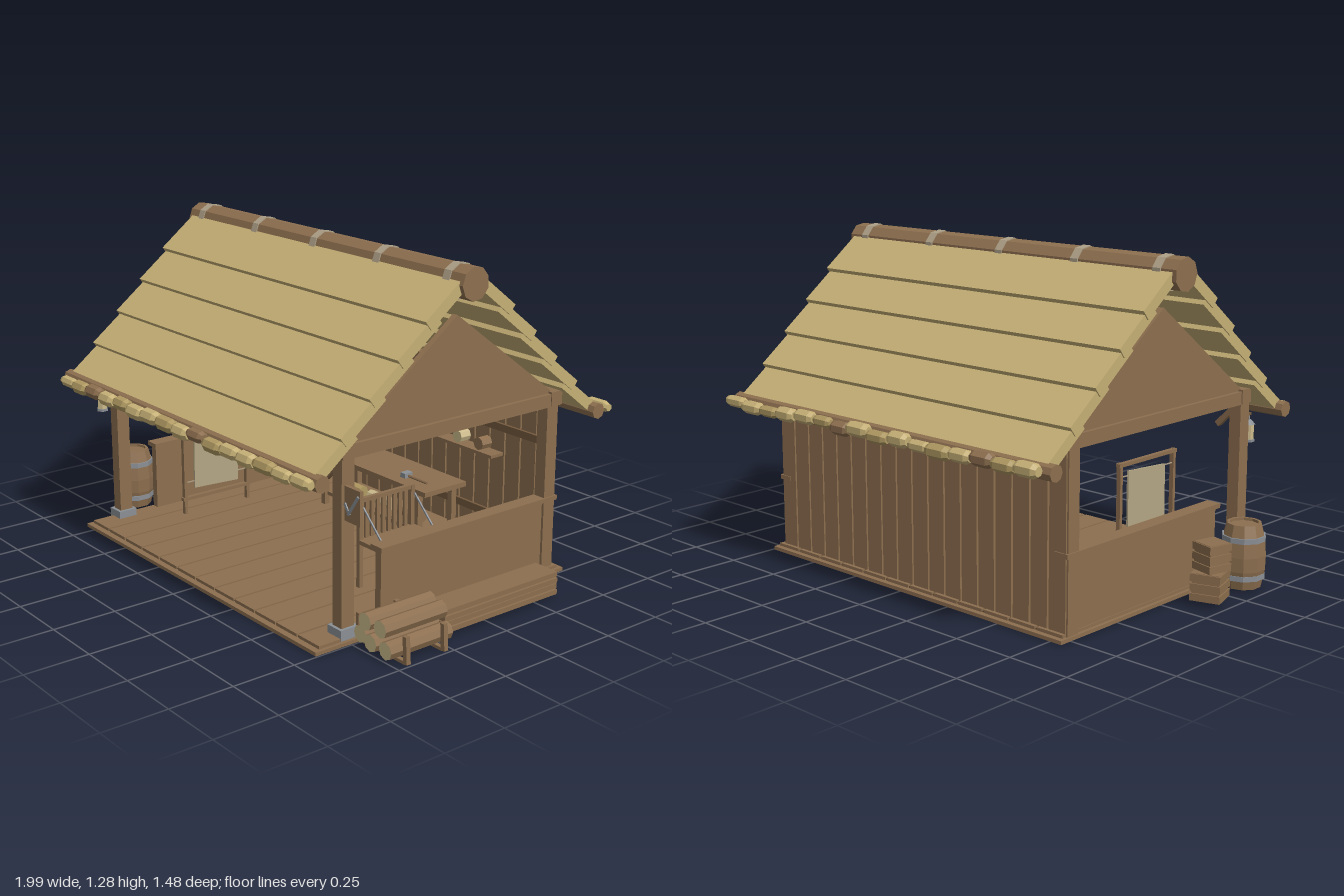
import * as THREE from 'three';

const mat = (name, color) => Object.assign(new THREE.MeshStandardMaterial({ color }), { name });
const M = {
  wood: mat('wood', 0x8d6f4f),
  darkWood: mat('dark wood', 0x755a3e),
  thatch: mat('thatch', 0xc6b076),
  straw: mat('pale straw', 0xb09a62),
  cutWood: mat('cut wood', 0xcdbb8c),
  hide: mat('hide', 0xb3a685),
  rope: mat('rope', 0xaea087),
  stone: mat('stone', 0x8b9095),
  seam: mat('shadow gap', 0x4a3826),
};

// Faceted normals
function flat(geo) {
  const g = geo.index ? geo.toNonIndexed() : geo;
  g.computeVertexNormals();
  return g;
}

function add(parent, name, geo, material, x, y, z) {
  const m = new THREE.Mesh(geo, material);
  m.name = name;
  m.position.set(x, y, z);
  parent.add(m);
  return m;
}

const box = (p, name, material, w, h, d, x, y, z) =>
  add(p, name, new THREE.BoxGeometry(w, h, d), material, x, y, z);

// Faceted cylinder along the chosen axis; caps may have their own material
function rod(p, name, material, r, len, axis, x, y, z, sides = 8, cap = material) {
  const g = new THREE.CylinderGeometry(r, r, len, sides);
  const groups = g.groups.slice();
  const f = flat(g);
  f.clearGroups();
  groups.forEach((k) => f.addGroup(k.start, k.count, k.materialIndex));
  if (axis === 'x') f.rotateZ(Math.PI / 2);
  if (axis === 'z') f.rotateX(Math.PI / 2);
  return add(p, name, f, [material, cap, cap], x, y, z);
}

function lathe(points, sides) {
  return flat(new THREE.LatheGeometry(points.map(([r, y]) => new THREE.Vector2(r, y)), sides));
}

function group(parent, name) {
  const g = new THREE.Group();
  g.name = name;
  parent.add(g);
  return g;
}

let seed = 7;
const rand = () => (seed = (seed * 16807) % 2147483647) / 2147483647;

const CX = -0.037, LEFT = 0.697, RIGHT = -0.77;

function buildFloor(root) {
  const g = group(root, 'floor');
  box(g, 'floorBase', M.wood, 1.545, 0.014, 1.205, -0.028, 0.007, 0.052);
  box(g, 'floorGaps', M.seam, 1.5, 0.004, 1.15, -0.028, 0.016, 0.05);
  const n = 12, step = 1.53 / n;
  for (let i = 0; i < n; i++)
    box(g, 'floorPlank', M.wood, step - 0.01, 0.012, 1.16, -0.793 + step * (i + 0.5), 0.02, 0.05);
}

function buildFrame(root) {
  const g = group(root, 'frame');
  for (const x of [RIGHT, LEFT]) {
    const s = Math.sign(x);
    for (const z of [0.497, -0.483]) {
      box(g, 'post', M.wood, 0.05, 0.69, 0.055, x, 0.355, z);
      if (z > 0) box(g, 'postFoot', M.stone, 0.075, 0.04, 0.08, x, 0.036, z);
    }
    // Knee brace
    const b = box(g, 'kneeBrace', M.wood, 0.022, 0.13, 0.022, x - s * 0.05, 0.62, 0.497);
    b.rotation.z = -s * Math.PI / 4;
    box(g, 'tieBeam', M.wood, 0.055, 0.05, 1.04, x, 0.695, 0);
    // Gable
    const tri = new THREE.Shape([[-0.5, 0.715], [0.5, 0.715], [0, 1.09]].map((p) => new THREE.Vector2(...p)));
    const geo = new THREE.ExtrudeGeometry(tri, { depth: 0.025, bevelEnabled: false });
    geo.translate(0, 0, -0.0125).rotateY(Math.PI / 2);
    add(g, 'gable', geo, M.wood, x, 0, 0);
    // Half wall with rail
    box(g, 'halfWall', M.wood, 0.03, 0.275, 0.85, x, 0.158, -0.085);
    box(g, 'halfWallRail', M.wood, 0.06, 0.018, 0.87, x, 0.303, -0.085);
  }
  for (const z of [0.497, -0.497]) box(g, 'longBeam', M.wood, 1.53, 0.055, 0.055, CX, 0.7, z);
  // Back wall planks
  const n = 18, step = 1.51 / n;
  for (let i = 0; i < n; i++)
    box(g, 'backPlank', M.wood, step - 0.008, 0.66, 0.022, CX - 0.755 + step * (i + 0.5), 0.345, -0.505);
  for (const y of [0.15, 0.52]) box(g, 'backBatten', M.darkWood, 1.48, 0.03, 0.012, CX, y, -0.488);
}

function buildRoof(root) {
  const g = group(root, 'roof');
  const tilt = 0.66, L = 0.215, T = 0.042, c = Math.cos(tilt), s = Math.sin(tilt);
  for (const side of [1, -1]) {
    for (let i = 0; i < 5; i++) {
      const z = 0.21 + 0.118 * i - c * L / 2 - s * T / 2;
      const y = 1.11 - 0.115 * i + s * L / 2 - c * T / 2;
      const w = 1.64 - 0.01 * i;
      box(g, 'thatchRow', M.thatch, w, T, L, CX - 0.003, y, z * side).rotation.x = tilt * side;
    }
    rod(g, 'eaveLog', M.wood, 0.031, 1.66, 'x', -0.04, 0.634, 0.66 * side);
    // Straw bundles along the eave
    for (let i = 0; i < 16; i++) {
      const r = 0.021 + rand() * 0.008, h = 0.045 + rand() * 0.011;
      const geo = lathe([[0, -h], [r * 0.65, -h], [r, -h * 0.65], [r, h * 0.65], [r * 0.65, h], [0, h]], 7);
      geo.rotateZ(Math.PI / 2);
      const m = i % 7 === 2 ? M.wood : i % 3 === 1 ? M.straw : M.thatch;
      add(g, 'eaveBundle', geo, m, -0.79 + i * 0.102, 0.638 + (rand() - 0.5) * 0.016, side * (0.705 + rand() * 0.01));
    }
  }
  rod(g, 'ridgeLog', M.wood, 0.062, 1.675, 'x', -0.04, 1.215, 0, 9);
  for (let i = 0; i < 5; i++) rod(g, 'ridgeRope', M.rope, 0.066, 0.035, 'x', -0.793 + 0.376 * i, 1.215, 0, 9);
}

function buildInterior(root) {
  // Workbench with rolls on its lower shelf
  const b = group(root, 'workbench');
  box(b, 'benchTop', M.wood, 0.68, 0.02, 0.22, -0.04, 0.252, -0.34);
  box(b, 'benchShelf', M.wood, 0.6, 0.015, 0.18, -0.04, 0.075, -0.34);
  for (const x of [-0.355, 0.24]) for (const z of [-0.43, -0.25])
    box(b, 'benchLeg', M.wood, 0.025, 0.22, 0.025, x, 0.135, z);
  [M.straw, M.cutWood, M.wood].forEach((m, i) =>
    rod(b, 'shelfRoll', m, 0.025, 0.14, 'x', -0.255 + i * 0.187, 0.108, -0.32));
  for (let i = 0; i < 3; i++) rod(b, 'pot', M.darkWood, 0.014, 0.03, 'y', -0.3 + i * 0.035, 0.277, -0.34);
  rod(b, 'malletHandle', M.wood, 0.006, 0.13, 'x', 0.17, 0.27, -0.3, 6);
  box(b, 'malletHead', M.stone, 0.03, 0.02, 0.04, 0.11, 0.272, -0.3);

  // Tool board
  const t = group(root, 'toolBoard');
  box(t, 'board', M.wood, 0.42, 0.225, 0.014, -0.305, 0.492, -0.475);
  [-0.475, -0.41, -0.34, -0.275, -0.135].forEach((x, i) => {
    box(t, 'toolBlade', M.stone, 0.01, 0.07, 0.01, x, 0.5 - (i % 2) * 0.01, -0.463);
    box(t, 'toolHandle', M.darkWood, 0.014, 0.05, 0.012, x, 0.56, -0.463);
  });

  // Wall shelf and plates
  const s = group(root, 'wallShelf');
  box(s, 'shelf', M.wood, 0.39, 0.012, 0.065, 0.305, 0.43, -0.42);
  [M.cutWood, M.cutWood, M.wood].forEach((m, i) =>
    rod(s, 'roundJar', m, 0.026, 0.05, 'z', 0.18 + i * 0.12, 0.463, -0.42));

  // Bench seat with slatted back
  const c = group(root, 'chair');
  box(c, 'seat', M.wood, 0.175, 0.016, 0.27, 0.505, 0.208, 0.075);
  for (const z of [-0.05, 0.2]) {
    box(c, 'rearLeg', M.wood, 0.018, 0.35, 0.018, 0.425, 0.2, z);
    box(c, 'frontLeg', M.wood, 0.018, 0.18, 0.018, 0.58, 0.115, z);
    box(c, 'armStrut', M.stone, 0.006, 0.16, 0.006, 0.5, 0.29, z).rotation.z = 0.8;
  }
  box(c, 'backRail', M.wood, 0.016, 0.016, 0.27, 0.425, 0.368, 0.075);
  for (let i = 0; i < 8; i++) box(c, 'backSlat', M.wood, 0.01, 0.15, 0.016, 0.425, 0.288, -0.02 + i * 0.027);

  // Hide stretched on a frame
  const h = group(root, 'hideFrame');
  for (const z of [-0.028, 0.287]) box(h, 'framePost', M.wood, 0.018, 0.48, 0.014, -0.62, 0.265, z);
  for (const y of [0.09, 0.497]) box(h, 'frameBar', M.wood, 0.018, 0.014, 0.34, -0.62, y, 0.13);
  const skin = new THREE.Shape([[-0.24, 0.13], [-0.02, 0.12], [-0.018, 0.468], [-0.12, 0.462], [-0.235, 0.455]]
    .map((p) => new THREE.Vector2(...p)));
  const geo = new THREE.ExtrudeGeometry(skin, { depth: 0.008, bevelEnabled: false });
  add(h, 'hide', geo.rotateY(Math.PI / 2), M.hide, -0.624, 0, 0);
  for (const y of [0.16, 0.45]) for (const z of [0.0, 0.262])
    box(h, 'lacing', M.rope, 0.004, 0.004, 0.05, -0.62, y, z);
}

function buildOutside(root) {
  // Barrel
  const b = group(root, 'barrel');
  b.position.set(-0.9, 0.012, 0.365);
  add(b, 'barrelBody', lathe([[0, 0], [0.07, 0], [0.085, 0.07], [0.087, 0.125], [0.083, 0.18], [0.066, 0.245],
    [0.055, 0.245], [0.055, 0.235], [0, 0.235]], 10), M.wood, 0, 0, 0);
  for (const y of [0.045, 0.19])
    add(b, 'hoop', lathe([[0.075, y - 0.01], [0.084, y - 0.01], [0.084, y + 0.01], [0.075, y + 0.01]], 10), M.stone, 0, 0, 0);

  // Stacked crates
  [[0.115, 0.075, 0.3, -0.92], [0.1, 0.185, -0.25, -0.925]].forEach(([w, y, turn, x]) => {
    const c = group(root, 'crate');
    c.position.set(x, y, 0.13);
    c.rotation.y = turn;
    box(c, 'crateBody', M.wood, w - 0.01, 0.105, w - 0.01, 0, 0, 0);
    for (const k of [-1, 0, 1]) box(c, 'crateSlat', M.wood, w, 0.028, w, 0, k * 0.037, 0);
  });

  // Firewood rack
  const f = group(root, 'firewood');
  [[0.775, 0.046], [0.853, 0.046], [0.932, 0.046], [0.812, 0.108], [0.892, 0.108]].forEach(([x, y], i) =>
    rod(f, 'firewoodLog', M.wood, 0.033, 0.28 + 0.02 * (i % 2), 'z', x, y, 0.355 + 0.01 * (i % 3 - 1), 8, M.cutWood));
  for (const z of [0.285, 0.455]) {
    box(f, 'rackPost', M.wood, 0.018, 0.1, 0.018, 0.985, 0.055, z).rotation.z = 0.06;
    box(f, 'rackPost', M.wood, 0.014, 0.09, 0.018, 0.735, 0.06, z);
    box(f, 'rackBar', M.wood, 0.25, 0.012, 0.018, 0.86, 0.009, z);
  }

  // Stacked lumber beside the half wall
  for (let i = 0; i < 4; i++)
    box(root, 'lumber', M.wood, 0.115 - 0.005 * (i % 2), 0.019, 0.56, 0.853, 0.025 + i * 0.023, -0.065);

  // Hanging board with a painted mark
  const s = group(root, 'sign');
  box(s, 'signBoard', M.wood, 0.085, 0.125, 0.014, 0.762, 0.517, 0.505);
  box(s, 'markLong', M.stone, 0.01, 0.095, 0.006, 0.77, 0.52, 0.514).rotation.z = -0.6;
  box(s, 'markShort', M.stone, 0.01, 0.045, 0.006, 0.738, 0.5, 0.514).rotation.z = 0.6;

  // Lantern on a bracket
  const l = group(root, 'lantern');
  l.position.set(-0.755, 0, 0.585);
  box(l, 'bracket', M.darkWood, 0.01, 0.01, 0.08, 0, 0.61, -0.03);
  box(l, 'hook', M.stone, 0.005, 0.03, 0.005, 0, 0.595, 0);
  rod(l, 'lanternGlass', M.cutWood, 0.02, 0.065, 'y', 0, 0.54, 0, 6);
  rod(l, 'lanternFoot', M.stone, 0.024, 0.01, 'y', 0, 0.507, 0, 6);
  add(l, 'lanternCap', lathe([[0, 0], [0.025, 0], [0.01, 0.018], [0, 0.018]], 6), M.stone, 0, 0.57, 0);
}

export function createModel() {
  const root = new THREE.Group();
  root.name = 'workshopHut';
  [buildFloor, buildFrame, buildRoof, buildInterior, buildOutside].forEach((build) => build(root));
  return root;
}
